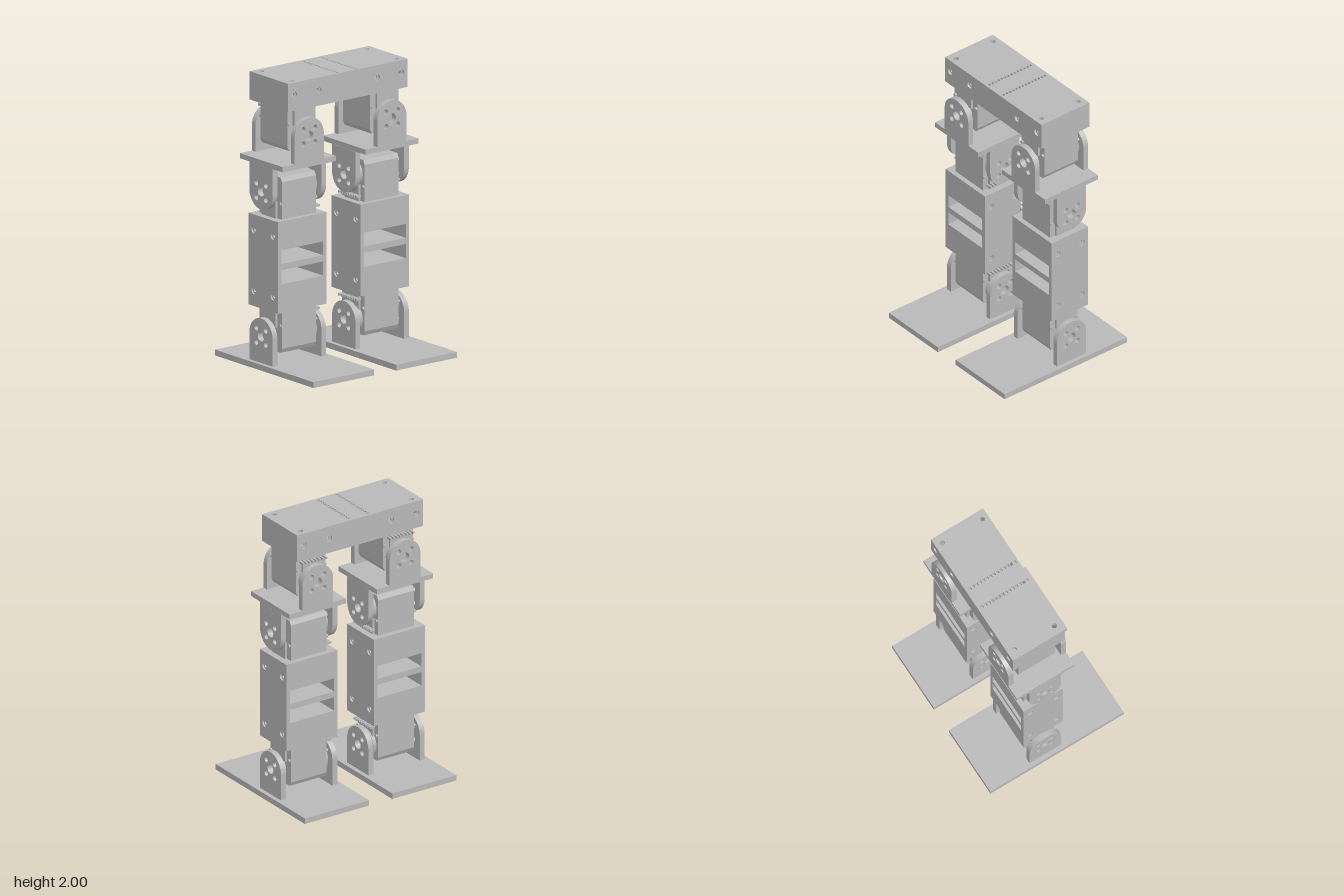
import * as THREE from 'three';

const grey = new THREE.MeshStandardMaterial({ color: 0xb8b8b8 });
grey.name = 'grey plastic';

const CX = -0.076; // leg centre line in x
const LEG_Z = 0.353; // leg centre distance in z

function add(parent, geometry, name, x = 0, y = 0, z = 0) {
  const mesh = new THREE.Mesh(geometry, grey);
  mesh.name = name;
  mesh.position.set(x, y, z);
  parent.add(mesh);
  return mesh;
}

function group(parent, name, x = 0, y = 0, z = 0) {
  const g = new THREE.Group();
  g.name = name;
  g.position.set(x, y, z);
  parent.add(g);
  return g;
}

const box = (w, h, d) => new THREE.BoxGeometry(w, h, d);

function circle(x, y, r) {
  const p = new THREE.Path();
  p.absarc(x, y, r, 0, Math.PI * 2, true);
  return p;
}

function rect(x, y, w, h, Kind = THREE.Path) {
  return new Kind([[-1, -1], [1, -1], [1, 1], [-1, 1]].map(
    ([i, j]) => new THREE.Vector2(x + i * w / 2, y + j * h / 2)));
}

// Extrusion centred on its own depth
function slab(shape, depth, holes = []) {
  shape.holes.push(...holes);
  const g = new THREE.ExtrudeGeometry(shape, { depth, bevelEnabled: false, curveSegments: 20 });
  return g.translate(0, 0, -depth / 2);
}

const plate = (w, h, depth, holes) => slab(rect(0, 0, w, h, THREE.Shape), depth, holes);

// Two-layer wall whose screw holes are wider on the outer (+z) side
function screwWall(parent, name, w, h, t, points) {
  const wall = group(parent, name);
  add(wall, plate(w, h, t / 2, points.map(([x, y]) => circle(x, y, 0.024))), 'outerLayer', 0, 0, -t / 4);
  add(wall, plate(w, h, t / 2, points.map(([x, y]) => circle(x, y, 0.013))), 'innerLayer', 0, 0, -t * 0.75);
  return wall;
}

// Cylinder along z
function disc(parent, name, r, z0, z1, x = 0, y = 0) {
  const g = new THREE.CylinderGeometry(r, r, Math.abs(z1 - z0), 32).rotateX(Math.PI / 2);
  return add(parent, g, name, x, y, (z0 + z1) / 2);
}

// Servo turning about z, mounted at its +y end, horn on the given side
function servo(parent, name, y, horn) {
  const s = group(parent, name, 0, y, 0);
  const c = 0.03;
  const profile = new THREE.Shape([
    [-0.12, 0.185], [-0.12, -0.105 + c], [-0.12 + c / 2, -0.105], [0.12 - c / 2, -0.105], [0.12, -0.105 + c], [0.12, 0.185],
  ].map(([a, b]) => new THREE.Vector2(a, b)));
  add(s, slab(profile, 0.29), 'servoBody');
  add(s, box(0.15, 0.12, 0.324), 'servoFlange', 0, 0.125, 0);
  disc(s, 'servoHorn', 0.1, horn * 0.145, horn * 0.17);
  disc(s, 'hornHub', 0.043, horn * 0.17, horn * 0.187);
  disc(s, 'rearBoss', 0.065, -horn * 0.145, -horn * 0.16);
  disc(s, 'rearHub', 0.043, -horn * 0.16, -horn * 0.18);
  for (const x of [-0.107, 0.107])
    for (const side of [-1, 1]) disc(s, 'caseScrew', 0.012, side * 0.14, side * 0.158, x, 0.08);
  // Row of connector pins
  for (let i = 0; i < 8; i++)
    add(s, box(0.014, 0.015, 0.04), 'connectorPin', (i - 3.5) * 0.026, 0.145, horn * 0.177);
  return s;
}

// Pair of round-ended lugs around a z axis at the origin, based at -y
function yoke(parent, name, y) {
  const g = group(parent, name, 0, y, 0);
  for (const side of [-1, 1]) {
    const s = new THREE.Shape();
    s.moveTo(-0.125, -0.183);
    s.lineTo(0.125, -0.183);
    s.lineTo(0.125, 0);
    s.absarc(0, 0, 0.125, 0, Math.PI, false);
    s.closePath();
    const holes = [circle(0, 0, 0.034)];
    for (const i of [-1, 1]) for (const j of [-1, 1]) holes.push(circle(i * 0.05, j * 0.05, 0.019));
    add(g, slab(s, 0.04, holes), 'yokeLug', 0, 0, side * 0.208);
  }
  return g;
}

function buildLeg(parent, name, side) {
  const leg = group(parent, name, CX, 0, side * LEG_Z);
  const horn = -side; // horns of knee and ankle face the other leg

  // Foot and ankle
  add(leg, box(1.053, 0.04, 0.518), 'foot', 0.074, 0.02, 0);
  yoke(leg, 'ankleYoke', 0.223);
  servo(leg, 'ankleServo', 0.223, horn);

  // Leg block with two windows running through it
  const block = group(leg, 'legBlock', -0.002, 0.725, 0);
  const core = plate(0.366, 0.634, 0.313, [rect(0, 0.071, 0.356, 0.096), rect(0, -0.069, 0.356, 0.098)]);
  add(block, core, 'windowedCore').rotation.y = Math.PI / 2;
  const screws = [[-0.103, 0.209], [0.103, 0.209], [-0.103, -0.21], [0.103, -0.21]];
  for (const s of [-1, 1]) {
    const wall = screwWall(block, 'screwWall', 0.313, 0.634, 0.024, screws);
    wall.position.z = s * 0.207;
    if (s < 0) wall.rotation.y = Math.PI;
  }

  // Knee
  servo(leg, 'kneeServo', 1.225, horn).rotation.z = Math.PI;
  yoke(leg, 'kneeYoke', 1.225).rotation.z = Math.PI;

  // Cross bracket and hip, with the hip turning about x
  add(leg, box(0.455, 0.036, 0.455), 'crossBracket', 0.002, 1.425, 0);
  const hip = group(leg, 'hip', 0.002, 0, 0);
  hip.rotation.y = Math.PI / 2;
  yoke(hip, 'hipYoke', 1.62);
  servo(hip, 'hipServo', 1.62, -1);
}

function buildPelvis(parent) {
  const pelvis = group(parent, 'pelvis', -0.081, 0, 0);
  const W = 0.412, L = 1.02, y0 = 1.805, y1 = 2;

  // Top plate with two slot rows and corner holes
  const holes = [];
  for (const s of [-1, 1]) {
    for (let i = 0; i < 14; i++) holes.push(rect(0.004 + (i - 6.5) * 0.0272, s * 0.076, 0.018, 0.022));
    for (const x of [-0.156, 0.16]) holes.push(circle(x, s * 0.448, 0.018));
  }
  add(pelvis, plate(W, L, 0.03, holes), 'topPlate', 0, y1 - 0.015, 0).rotation.x = -Math.PI / 2;

  // Bottom plate with a round cable opening
  add(pelvis, plate(W, L, 0.03, [circle(0.004, 0, 0.092)]), 'bottomPlate', 0, y0 + 0.015, 0).rotation.x = -Math.PI / 2;

  // Side walls with screw holes, and plain end walls
  const h = y1 - y0 - 0.06, yc = (y0 + y1) / 2;
  const screws = [-0.456, -0.25, 0.25, 0.456].map((z) => [z, 0.008]);
  for (const s of [-1, 1]) {
    const wall = screwWall(pelvis, 'sideWall', L, h, 0.03, screws);
    wall.position.set(s * W / 2, yc, 0);
    wall.rotation.y = s * Math.PI / 2;
    add(pelvis, box(W - 0.06, h, 0.03), 'endWall', 0, yc, s * (L / 2 - 0.015));
  }
}

export function createModel() {
  const model = new THREE.Group();
  model.name = 'walkingLegs';
  buildLeg(model, 'frontLeg', 1);
  buildLeg(model, 'backLeg', -1);
  buildPelvis(model);
  return model;
}
